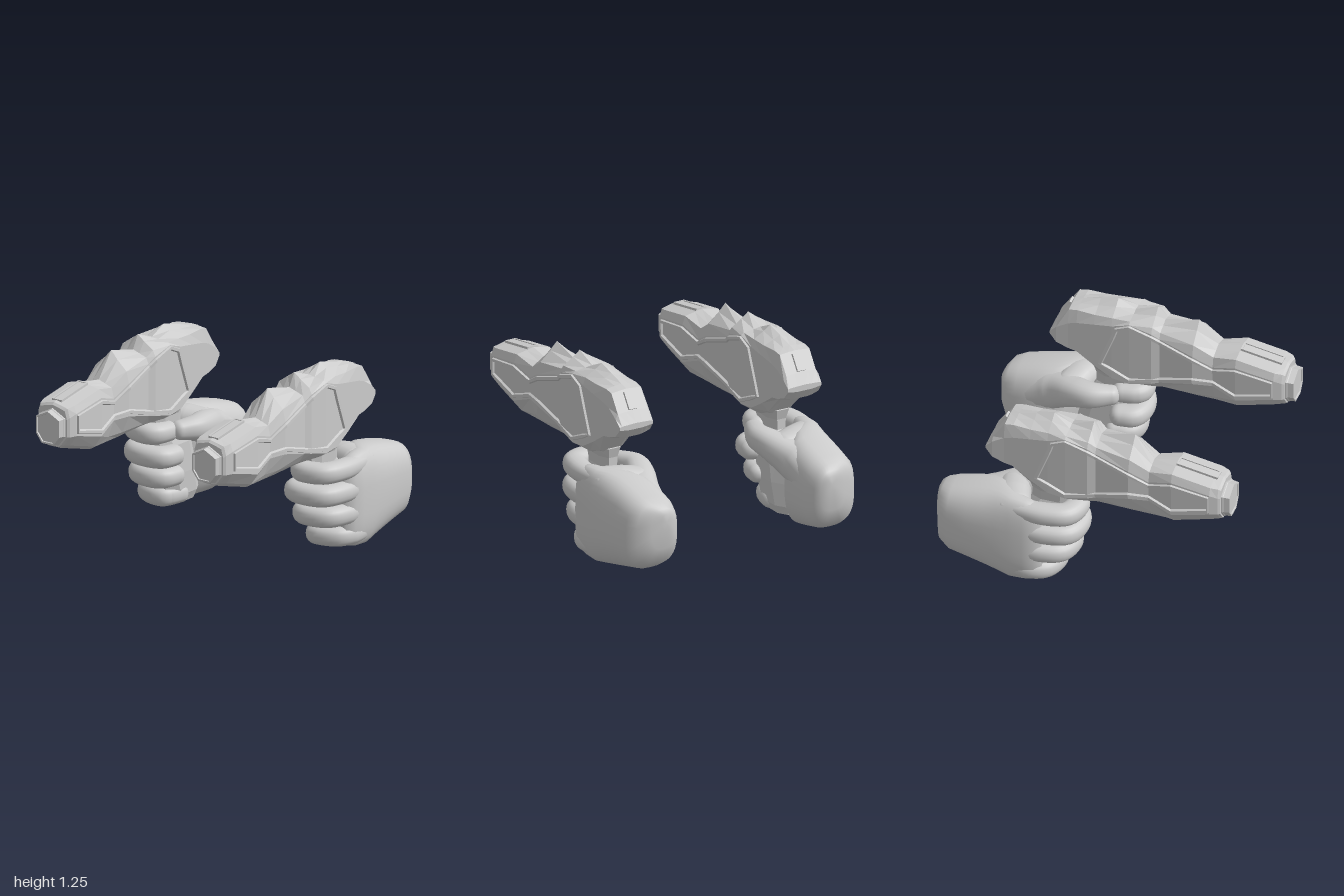
import * as THREE from 'three';

const CX = 0.635; // distance of each gun from the middle
const V = (x, y, z) => new THREE.Vector3(x, y, z);
const smoothMat = new THREE.MeshStandardMaterial({ color: 0xcccccc });
const flatMat = new THREE.MeshStandardMaterial({ color: 0xcccccc, flatShading: true });

// Skins a list of equal rings; closes both ends, or joins last to first when looped
function loft(rings, loop = false) {
  const n = rings[0].length, m = rings.length, pts = rings.flat(), idx = [];
  for (let i = 0; i < (loop ? m : m - 1); i++) {
    for (let j = 0; j < n; j++) {
      const a = i * n + j, b = i * n + (j + 1) % n, k = ((i + 1) % m) * n;
      const c = k + j, d = k + (j + 1) % n;
      idx.push(a, b, c, b, d, c);
    }
  }
  if (!loop) [0, m - 1].forEach((r, e) => {
    const c = pts.length;
    pts.push(rings[r].reduce((s, p) => s.add(p), V(0, 0, 0)).divideScalar(n));
    for (let j = 0; j < n; j++) {
      const a = r * n + j, b = r * n + (j + 1) % n;
      idx.push(...(e ? [a, b, c] : [b, a, c]));
    }
  });
  // turn the faces outward if the enclosed volume is negative
  let vol = 0;
  for (let i = 0; i < idx.length; i += 3) {
    vol += pts[idx[i]].dot(V(0, 0, 0).crossVectors(pts[idx[i + 1]], pts[idx[i + 2]]));
  }
  if (vol < 0) idx.reverse();
  return new THREE.BufferGeometry().setFromPoints(pts).setIndex(idx);
}

// Outline of half a section mirrored to a full ring
const mirrorRing = (half, z) => [
  ...half.map(([x, y]) => V(x, y, z)),
  ...half.filter(p => p[0] > 0).reverse().map(([x, y]) => V(-x, y, z)),
];

// Gun body: z, half width, crest, shoulder, upper chine, lower chine, belly
const BODY = [
  [0.945, 0.115, 1.01, 0.985, 0.93, 0.81, 0.735],
  [0.93, 0.128, 1.025, 1.0, 0.94, 0.81, 0.725],
  [0.88, 0.145, 1.035, 1.01, 0.96, 0.81, 0.71],
  [0.62, 0.145, 1.08, 1.055, 1.0, 0.74, 0.635],
  [0.46, 0.122, 1.055, 1.02, 0.95, 0.8, 0.64],
  [0.33, 0.145, 1.22, 1.1, 1.02, 0.8, 0.642],
  [0.1, 0.125, 1.165, 1.13, 1.09, 0.74, 0.652],
  [0.05, 0.142, 1.255, 1.17, 1.13, 0.73, 0.652],
  [-0.1, 0.146, 1.2, 1.185, 1.17, 0.695, 0.65],
  [-0.22, 0.143, 1.255, 1.18, 1.13, 0.71, 0.65],
  [-0.34, 0.138, 1.225, 1.175, 1.11, 0.78, 0.69],
  [-0.46, 0.133, 1.195, 1.18, 1.09, 0.86, 0.83],
  [-0.52, 0.13, 1.18, 1.17, 1.07, 0.87, 0.85],
  [-0.6, 0.13, 1.06, 1.05, 1.02, 0.9, 0.88],
  [-0.645, 0.125, 0.985, 0.98, 0.975, 0.955, 0.945],
];
const bodyRing = ([z, w, t, sh, u, l, b]) => mirrorRing([
  [0, t], [0.05, t - (t - sh) * 0.45], [w * 0.86, sh], [w, u], [w, l],
  [w * 0.62, b + (l - b) * 0.25], [0.05, b], [0, b],
], z);
function widthAt(z) {
  const i = Math.max(1, BODY.findIndex(s => s[0] <= z)), a = BODY[i - 1], b = BODY[i];
  return THREE.MathUtils.mapLinear(z, a[0], b[0], a[1], b[1]);
}

// Panel outline on the gun's flank: z, y
const PANEL = [
  [0.87, 0.94], [0.62, 0.975], [0.46, 0.925], [0.33, 0.995], [0.1, 1.07], [0.05, 1.105],
  [-0.1, 1.155], [-0.19, 1.115], [-0.22, 1.03], [-0.3, 0.815], [-0.22, 0.775], [-0.1, 0.722],
  [0.1, 0.76], [0.33, 0.83], [0.46, 0.825], [0.62, 0.77], [0.87, 0.835],
];
// Raised bevelled rim following the outline
function panelRim(side) {
  const n = PANEL.length;
  return loft(PANEL.map(([z, y], i) => {
    const p = PANEL[(i + n - 1) % n], q = PANEL[(i + 1) % n];
    const dir = new THREE.Vector2(q[0] - p[0], q[1] - p[1]).normalize();
    // section across the rim: inward offset, height above the flank
    return [[-0.028, -0.015], [-0.012, 0.014], [0.008, 0.014], [0.016, -0.015]].map(([d, h]) =>
      V(side * (widthAt(z) + h), y - dir.x * d, z + dir.y * d));
  }), true);
}

const muzzleRing = (z, k) => mirrorRing(
  [[0, 0.985], [0.1, 0.935], [0.1, 0.815], [0.05, 0.75]]
    .map(([x, y]) => [x * k, 0.868 + (y - 0.868) * k]), z);

// Eight-sided grip section: y, front z, back z, half width
const gripRing = ([y, z1, z0, w]) => [
  [w, 0.25], [w, 0.75], [w * 0.5, 1], [-w * 0.5, 1], [-w, 0.75], [-w, 0.25], [-w * 0.5, 0], [w * 0.5, 0],
].map(([x, t]) => V(x, y, z0 + (z1 - z0) * t));

function makeGun() {
  const parts = [];
  parts.push(['gunBody', loft(BODY.map(bodyRing))]);
  parts.push(['muzzle', loft([
    muzzleRing(0.93, 1.04), muzzleRing(0.955, 1.02), muzzleRing(0.96, 0.98), muzzleRing(1, 0.94),
    muzzleRing(1, 0.84), muzzleRing(0.992, 0.82),
  ])]);
  for (const s of [1, -1]) parts.push(['sidePanelRim', panelRim(s)]);
  // sloping frame and insert on top of the barrel
  const slope = Math.atan2(0.045, 0.26);
  const top = (name, w, h, d, x, y, z) => {
    const g = new THREE.BoxGeometry(w, h, d).rotateX(slope);
    parts.push([name, g.translate(x, y, z)]);
  };
  for (const s of [1, -1]) top('topRail', 0.012, 0.04, 0.28, s * 0.034, 1.042, 0.76);
  for (const z of [0.626, 0.894]) top('topRailEnd', 0.07, 0.04, 0.012, 0, 1.042 - (z - 0.76) * 0.173, z);
  top('topInsert', 0.05, 0.03, 0.26, 0, 1.043, 0.76);
  // raised rib down the sloping rear face
  const rib = new THREE.BoxGeometry(0.06, 0.03, 0.12).rotateX(-0.98);
  parts.push(['rearRib', rib.translate(0, 1.112, -0.564)]);
  parts.push(['grip', loft([
    [0.72, -0.04, -0.38, 0.09], [0.65, -0.09, -0.36, 0.065], [0.58, -0.1, -0.36, 0.06],
    [0.45, -0.12, -0.44, 0.1], [0.25, -0.14, -0.49, 0.105], [0.1, -0.2, -0.52, 0.1],
    [0.04, -0.24, -0.5, 0.075],
  ].map(gripRing))]);
  return parts;
}

// Rounded limb along a smooth path; points are x, y, z, radius
function limb(points, tall = 1, sides = 20, steps = 30) {
  const curve = new THREE.CatmullRomCurve3(points.map(p => V(p[0], p[1], p[2])));
  const rings = [];
  const ring = (t, shift, k) => {
    const f = t * (points.length - 1), i = Math.min(points.length - 2, Math.floor(f));
    const r = THREE.MathUtils.lerp(points[i][3], points[i + 1][3], f - i);
    const tan = curve.getTangent(t);
    const out = V(0, 0, 0).crossVectors(V(0, 1, 0), tan).normalize();
    const up = V(0, 0, 0).crossVectors(tan, out);
    const c = curve.getPoint(t).addScaledVector(tan, shift * r);
    rings.push(Array.from({ length: sides }, (_, j) => {
      const a = j / sides * Math.PI * 2, e = v => Math.sign(v) * Math.abs(v) ** 0.85;
      return c.clone().addScaledVector(out, e(Math.cos(a)) * r * k).addScaledVector(up, e(Math.sin(a)) * r * k * tall);
    }));
  };
  const caps = [0.15, 0.4, 0.7, 1, 1.3];
  for (const a of caps) ring(0, -Math.cos(a) * 0.8, Math.sin(a));
  for (let i = 0; i <= steps; i++) ring(i / steps, 0, 1);
  for (const a of [...caps].reverse()) ring(1, Math.cos(a) * 0.8, Math.sin(a));
  return loft(rings);
}

// Palm sections: z, inner x, outer x, bottom, top
const PALM = [
  [-1, 0.59, 0.66, 0.36, 0.47], [-0.985, 0.545, 0.73, 0.23, 0.505], [-0.95, 0.515, 0.82, 0.12, 0.54],
  [-0.88, 0.488, 0.862, 0.075, 0.565], [-0.75, 0.48, 0.875, 0.045, 0.6], [-0.64, 0.485, 0.885, 0.02, 0.622],
  [-0.55, 0.54, 0.89, 0.005, 0.635], [-0.46, 0.66, 0.893, 0.0, 0.638], [-0.36, 0.7, 0.89, 0.01, 0.632],
  [-0.29, 0.72, 0.878, 0.025, 0.615], [-0.24, 0.75, 0.84, 0.06, 0.57],
];
const palmRing = ([z, x0, x1, y0, y1]) => Array.from({ length: 36 }, (_, j) => {
  const a = j / 36 * Math.PI * 2, e = v => Math.sign(v) * Math.abs(v) ** 0.72;
  // the heel leans slightly outward toward the wrist's lower edge
  return V((x0 + x1) / 2 - CX + e(Math.cos(a)) * (x1 - x0) / 2, (y0 + y1) / 2 + e(Math.sin(a)) * (y1 - y0) / 2, z);
});

// Fingers: height, knuckle z offset, fingertip x offset, radius
const FINGERS = [
  ['indexFinger', 0.555, 0, 0.05, 0.078], ['middleFinger', 0.403, 0, 0, 0.08],
  ['ringFinger', 0.25, -0.045, 0.03, 0.078], ['littleFinger', 0.098, -0.14, 0.07, 0.076],
];

function makeHand() {
  const parts = [['palm', loft(PALM.map(palmRing))]];
  for (const [name, y, dz, dx, r] of FINGERS) {
    parts.push([name, limb([
      [0.155, y, -0.5, r * 0.85], [0.17, y, -0.24 + dz * 0.6, r * 0.98], [0.125, y, -0.095 + dz, r],
      [0, y, -0.06 + dz, r], [-0.09 + dx, y, -0.09 + dz, r], [-0.115 + dx, y, -0.18 + dz, r * 0.95],
    ], 0.89)]);
  }
  parts.push(['thumb', limb([
    [-0.02, 0.38, -0.82, 0.125], [-0.05, 0.46, -0.63, 0.13], [-0.14, 0.535, -0.46, 0.095],
    [-0.165, 0.555, -0.35, 0.082], [-0.125, 0.56, -0.22, 0.062],
  ])]);
  // web of skin filling the hand behind the grip
  parts.push(['thumbWeb', limb([
    [-0.09, 0.51, -0.52, 0.11], [0.02, 0.52, -0.49, 0.115], [0.12, 0.525, -0.45, 0.11],
  ])]);
  return parts;
}

// Turns named geometries into a group, mirrored in x where side is -1
function assemble(name, parts, material, side) {
  const group = new THREE.Group();
  group.name = name;
  for (const [part, geo] of parts) {
    if (side < 0) {
      geo.scale(-1, 1, 1);
      geo.index.array.reverse();
    }
    geo.computeVertexNormals();
    const mesh = new THREE.Mesh(geo, material);
    mesh.name = part;
    group.add(mesh);
  }
  group.position.x = side * CX;
  return group;
}

export function createModel() {
  const model = new THREE.Group();
  model.name = 'pairOfHeldGuns';
  for (const [label, side] of [['left', 1], ['right', -1]]) {
    model.add(assemble(label + 'Gun', makeGun(), flatMat, side));
    model.add(assemble(label + 'Hand', makeHand(), smoothMat, side));
  }
  return model;
}
